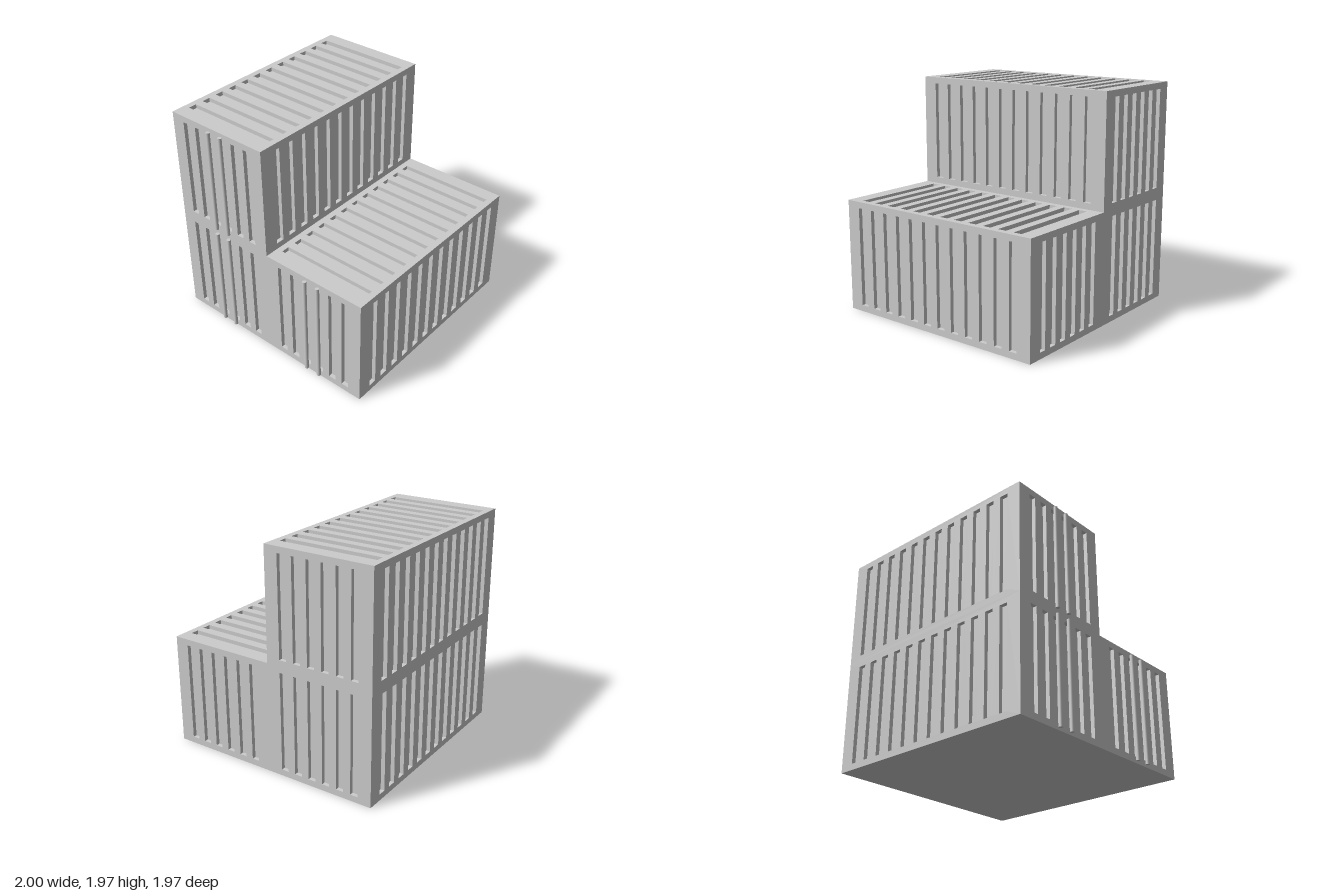
import * as THREE from 'three';
import { mergeGeometries } from 'three/addons/utils/BufferGeometryUtils.js';

const LENGTH = 1.965, SIZE = 0.985;   // each container: length along x, height and depth
const X0 = 0.0175;                    // container centre in x
const SLOT_HEIGHT = 0.875, SLOT_DEPTH = 0.035;
const BAR_RADIUS = 0.0175;

// Inward-facing box without its front: walls and floor of one slot
function recess(w, h, d) {
  const box = new THREE.BoxGeometry(w, h, d);
  const index = Array.from(box.index.array).filter((_, i) => i < 24 || i >= 30);
  box.setIndex(index);
  box.scale(-1, 1, 1);
  box.computeVertexNormals();
  return box;
}

// Flat wall facing +z with a centred row of recessed vertical slots
function slottedPanel(w, h, count, pitch, slotWidth) {
  const shape = new THREE.Shape([
    new THREE.Vector2(-w / 2, -h / 2), new THREE.Vector2(w / 2, -h / 2),
    new THREE.Vector2(w / 2, h / 2), new THREE.Vector2(-w / 2, h / 2),
  ]);
  const parts = [];
  const a = slotWidth / 2, b = SLOT_HEIGHT / 2;
  for (let i = 0; i < count; i++) {
    const x = (i - (count - 1) / 2) * pitch;
    shape.holes.push(new THREE.Path([
      new THREE.Vector2(x - a, -b), new THREE.Vector2(x - a, b),
      new THREE.Vector2(x + a, b), new THREE.Vector2(x + a, -b),
    ]));
    parts.push(recess(slotWidth, SLOT_HEIGHT, SLOT_DEPTH).translate(x, 0, -SLOT_DEPTH / 2));
  }
  return mergeGeometries([new THREE.ShapeGeometry(shape), ...parts]);
}

export function createModel() {
  const model = new THREE.Group();
  model.name = 'stackedContainers';
  const material = new THREE.MeshStandardMaterial({ color: 0xcccccc });

  const longPanel = slottedPanel(LENGTH, SIZE, 12, 0.1485, 0.076);
  const endPanel = slottedPanel(SIZE, SIZE, 6, 0.1345, 0.068);
  const barGeometry = new THREE.CylinderGeometry(BAR_RADIUS, BAR_RADIUS, 0.935, 16);

  // Centre of each container and which long walls are exposed
  const containers = [
    { name: 'frontContainer', y: SIZE / 2, z: SIZE / 2, walls: ['front', 'top'] },
    { name: 'backContainer', y: SIZE / 2, z: -SIZE / 2, walls: ['back'] },
    { name: 'upperContainer', y: SIZE * 1.5, z: -SIZE / 2, walls: ['front', 'back', 'top'] },
  ];

  for (const { name, y, z, walls } of containers) {
    const group = new THREE.Group();
    group.name = name;
    group.position.set(X0, y, z);
    const add = (part, geometry, position, rotation = [0, 0, 0]) => {
      const mesh = new THREE.Mesh(geometry, material);
      mesh.name = part;
      mesh.position.set(...position);
      mesh.rotation.set(...rotation);
      group.add(mesh);
    };
    const half = SIZE / 2;

    // Slotted long walls and roof
    if (walls.includes('front')) add('frontWall', longPanel, [0, 0, half]);
    if (walls.includes('back')) add('backWall', longPanel, [0, 0, -half], [0, Math.PI, 0]);
    if (walls.includes('top')) add('roof', longPanel, [0, half, 0], [-Math.PI / 2, 0, 0]);

    // Slotted end walls
    add('leftEnd', endPanel, [LENGTH / 2, 0, 0], [0, Math.PI / 2, 0]);
    add('rightDoors', endPanel, [-LENGTH / 2, 0, 0], [0, -Math.PI / 2, 0]);

    // Pair of locking bars on the doors
    for (const side of [-1, 1]) {
      add('lockingBar', barGeometry, [-LENGTH / 2 - BAR_RADIUS, -0.005, side * 0.067]);
    }
    model.add(group);
  }

  // Plain underside
  const base = new THREE.Mesh(new THREE.PlaneGeometry(LENGTH, SIZE * 2), material);
  base.name = 'base';
  base.position.x = X0;
  base.rotation.x = Math.PI / 2;
  model.add(base);

  return model;
}
